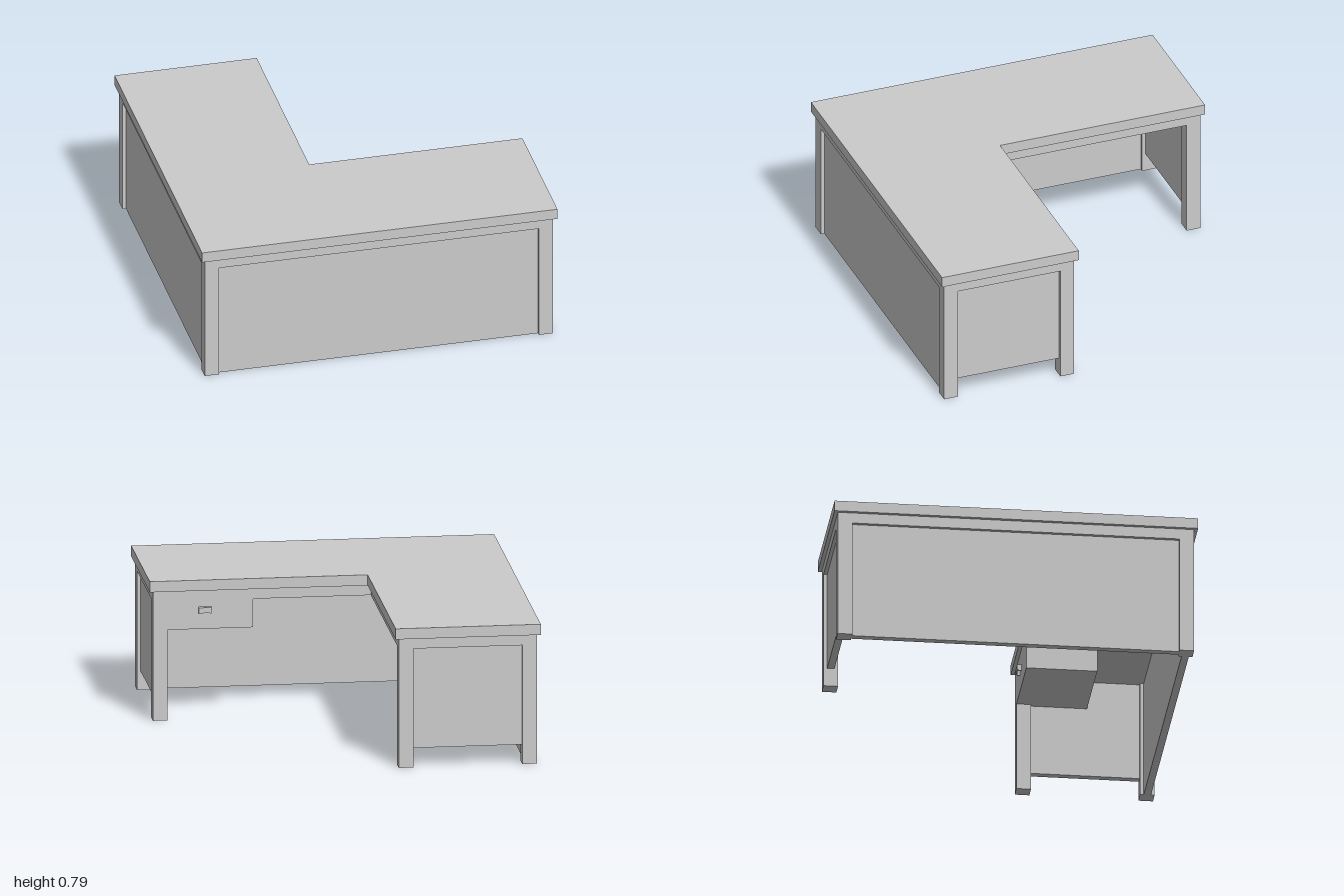
import * as THREE from 'three';

const material = new THREE.MeshStandardMaterial({ color: 0xcccccc });

export function createModel() {
  const desk = new THREE.Group();
  desk.name = 'cornerDesk';

  const add = (name, geometry, parent = desk) => {
    const mesh = new THREE.Mesh(geometry, material);
    mesh.name = name;
    parent.add(mesh);
    return mesh;
  };

  // Box given by its ranges along x, y and z
  const box = (name, [x0, x1], [y0, y1], [z0, z1], parent) => {
    const mesh = add(name, new THREE.BoxGeometry(x1 - x0, y1 - y0, z1 - z0), parent);
    mesh.position.set((x0 + x1) / 2, (y0 + y1) / 2, (z0 + z1) / 2);
  };

  // L-shaped slab, inset evenly from the outline of the worktop
  const slab = (name, inset, y0, y1) => {
    const o = 1 - inset, i = 0.2 + inset;
    const outline = [[-o, -o], [o, -o], [o, -i], [-i, -i], [-i, o], [-o, o]];
    const shape = new THREE.Shape(outline.map(([x, y]) => new THREE.Vector2(x, y)));
    const geometry = new THREE.ExtrudeGeometry(shape, { depth: y1 - y0, bevelEnabled: false });
    geometry.rotateX(-Math.PI / 2);
    add(name, geometry).position.y = y0;
  };

  slab('worktop', 0, 0.73, 0.79);
  slab('apron', 0.02, 0.67, 0.73);

  // Square legs at the five outer corners
  const legs = [[-0.94, 0.94], [0.94, 0.94], [0.94, 0.26], [-0.94, -0.94], [-0.26, -0.94]];
  for (const [x, z] of legs) {
    box('leg', [x - 0.04, x + 0.04], [0, 0.67], [z - 0.04, z + 0.04]);
  }

  // Recessed panels: full height on the long sides, raised on the short ends
  box('frontPanel', [-0.9, 0.9], [0, 0.67], [0.92, 0.96]);
  box('sidePanel', [-0.96, -0.92], [0, 0.67], [-0.9, 0.9]);
  box('leftEndPanel', [0.92, 0.96], [0.105, 0.67], [0.3, 0.9]);
  box('backEndPanel', [-0.9, -0.3], [0.105, 0.67], [-0.96, -0.92]);

  // Drawer under the wing, flush with the apron
  box('drawer', [0.43, 0.92], [0.51, 0.67], [0.22, 0.61]);

  // Cup pull, open underneath
  const pull = new THREE.Group();
  pull.name = 'drawerPull';
  box('pullTop', [0.66, 0.73], [0.627, 0.635], [0.195, 0.22], pull);
  box('pullFront', [0.66, 0.73], [0.604, 0.627], [0.195, 0.202], pull);
  for (const x of [0.66, 0.723]) {
    box('pullSide', [x, x + 0.007], [0.6, 0.627], [0.202, 0.22], pull);
  }
  desk.add(pull);

  return desk;
}
